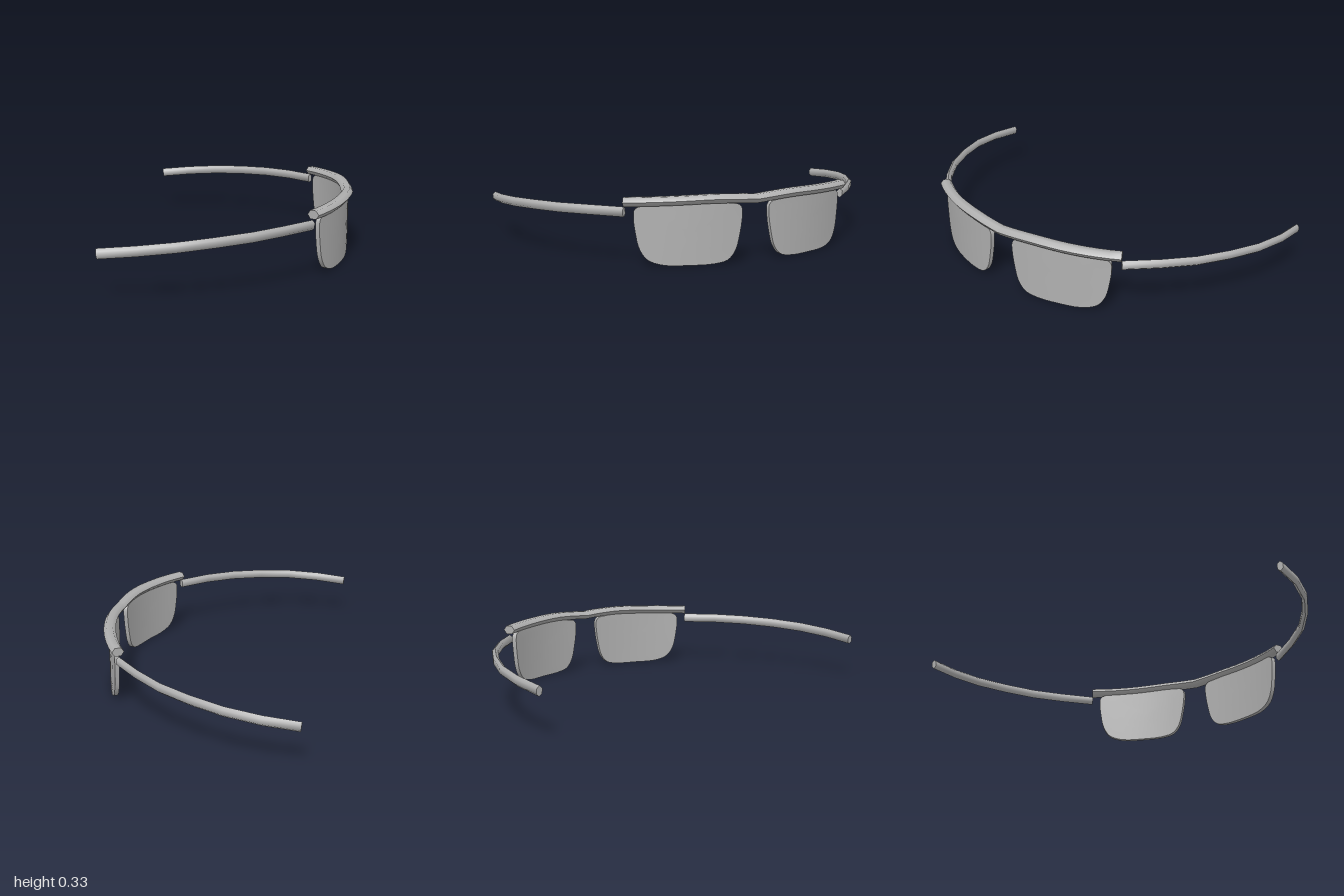
import * as THREE from 'three';
import { toCreasedNormals } from 'three/addons/utils/BufferGeometryUtils.js';

const V = (x, y, z) => new THREE.Vector3(x, y, z);
const RADIUS = 1.057; // wrap radius of the brow bar and lenses

// Skin a list of equal-length closed rings
function loft(rings) {
  const n = rings[0].length, pos = [], index = [];
  rings.forEach(ring => ring.forEach(p => pos.push(p.x, p.y, p.z)));
  for (let i = 0; i < rings.length - 1; i++) {
    for (let j = 0; j < n; j++) {
      const k = (j + 1) % n, a = i * n, b = a + n;
      index.push(a + j, b + j, b + k, a + j, b + k, a + k);
    }
  }
  const geo = new THREE.BufferGeometry();
  geo.setAttribute('position', new THREE.Float32BufferAttribute(pos, 3));
  geo.setIndex(index);
  return toCreasedNormals(geo, 1.1);
}

// Sweep a six-sided section along points, with closed ends
function sweep(path, halfWidth, halfHeight, phase) {
  const last = path.length - 1;
  const rings = path.map((p, i) => {
    const t = path[Math.min(i + 1, last)].clone().sub(path[Math.max(i - 1, 0)]).normalize();
    const side = V(0, 1, 0).cross(t).normalize();
    const up = t.clone().cross(side);
    return Array.from({ length: 6 }, (_, j) => {
      const a = phase - j * Math.PI / 3;
      return p.clone().addScaledVector(side, Math.cos(a) * halfWidth)
        .addScaledVector(up, Math.sin(a) * halfHeight);
    });
  });
  return loft([Array(6).fill(path[0]), ...rings, Array(6).fill(path[last])]);
}

// Lens outline as (z, y), wrapped on a cylinder and given thickness
function lens(sign) {
  const outline = [
    [0.548, 0.27], [0.555, 0.24], [0.547, 0.15], [0.532, 0.08], [0.5, 0.03], [0.44, 0.006],
    [0.32, 0.002], [0.2, 0.005], [0.14, 0.02], [0.103, 0.065], [0.085, 0.13], [0.073, 0.2],
    [0.071, 0.26], [0.085, 0.28], [0.12, 0.287], [0.3, 0.296], [0.5, 0.288],
  ].map(([z, y]) => V(0, y, z * sign));
  if (sign < 0) outline.reverse();
  const pts = new THREE.CatmullRomCurve3(outline, true).getPoints(56).slice(0, -1);
  const ring = (scale, depth) => pts.map(p => {
    const y = 0.15 + (p.y - 0.15) * scale;
    const z = sign * 0.313 + (p.z - sign * 0.313) * scale;
    const a = Math.asin(z / RADIUS), r = RADIUS - depth;
    return V(0.538 - RADIUS + r * Math.cos(a), y, r * Math.sin(a));
  });
  const steps = [0, 0.25, 0.5, 0.75, 1];
  return loft([
    ...steps.map(s => ring(s, 0)),
    ...steps.slice().reverse().map(s => ring(s, 0.022)),
  ]);
}

export function createModel() {
  const group = new THREE.Group();
  const grey = new THREE.MeshStandardMaterial({ color: 0xb0b0b0 });
  grey.name = 'grey';
  const add = (name, geo) => {
    const mesh = new THREE.Mesh(geo, grey);
    mesh.name = name;
    group.add(mesh);
  };

  // Brow bar: curved in plan, with a gentle arch over each lens
  const arch = new THREE.CatmullRomCurve3(
    [V(0, 0.302, 0), V(0.07, 0.307, 0), V(0.2, 0.313, 0), V(0.4, 0.308, 0), V(0.59, 0.301, 0)]);
  const half = arch.getPoints(16).map(p =>
    V(0.53 - RADIUS + Math.sqrt(RADIUS ** 2 - p.x ** 2), p.y, p.x));
  const mirrored = half.slice(1).reverse().map(p => V(p.x, p.y, -p.z));
  add('browBar', sweep([...mirrored, ...half], 0.03, 0.024, 0));

  // Lenses and temple arms on both sides
  const arm = [
    [0.348, 0.253, 0.588], [0.22, 0.253, 0.715], [0.085, 0.249, 0.82], [-0.07, 0.243, 0.9],
    [-0.23, 0.234, 0.958], [-0.4, 0.222, 0.983], [-0.567, 0.208, 0.979],
  ];
  for (const [side, sign] of [['left', -1], ['right', 1]]) {
    add(side + 'Lens', lens(sign));
    add(side + 'Arm', sweep(arm.map(([x, y, z]) => V(x, y, z * sign)), 0.016, 0.024, Math.PI / 2));
  }
  return group;
}
